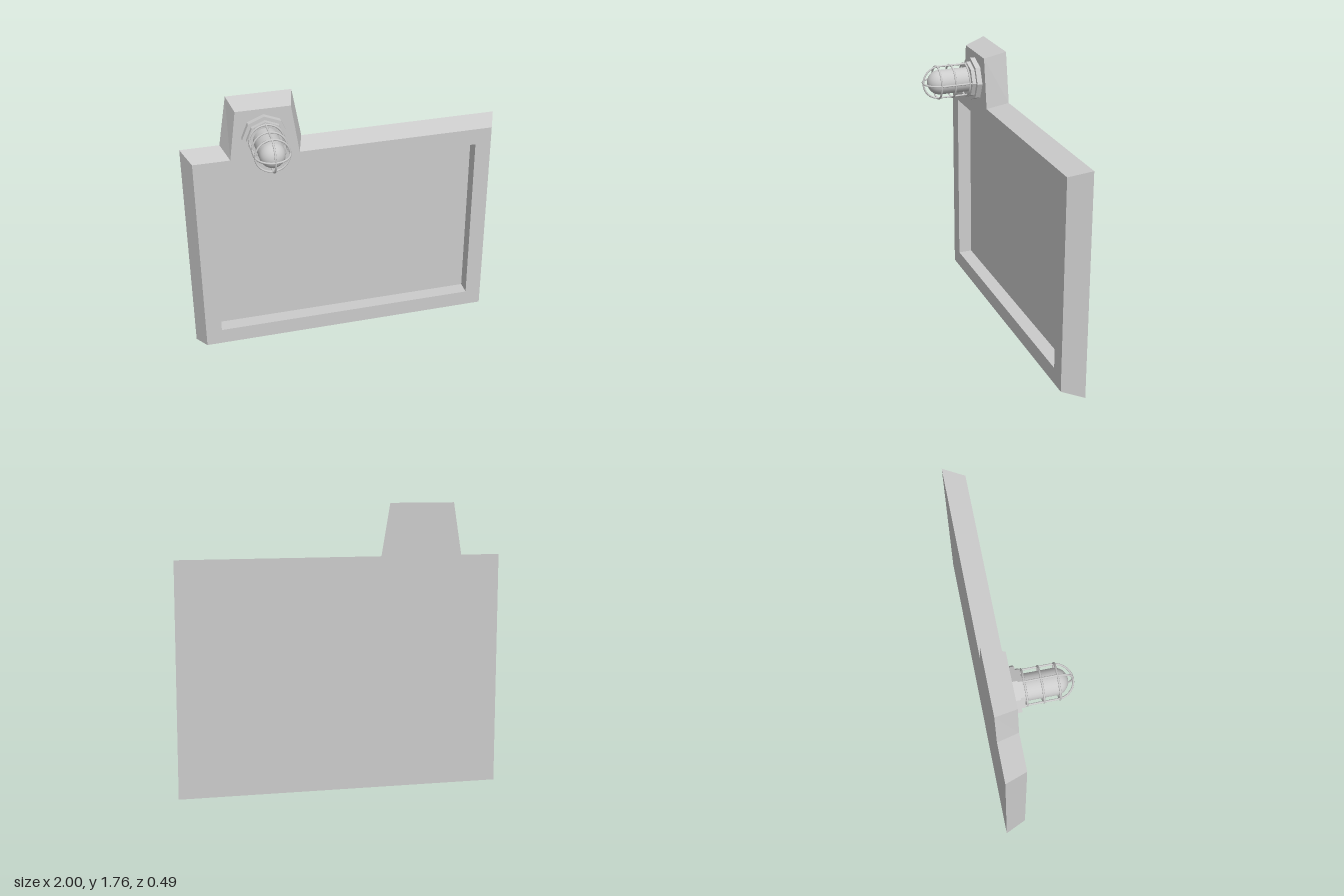
import * as THREE from 'three';

const BACK = -0.245, FRONT = -0.11, FLOOR = -0.2;
const smooth = new THREE.MeshStandardMaterial({ color: 0xcccccc });
const flat = new THREE.MeshStandardMaterial({ color: 0xcccccc, flatShading: true });

// Outlines, counter-clockwise seen from the front
const backOutline = [[-1, 0], [1, 0], [1, 1.44], [-0.25, 1.44], [-0.303, 1.76], [-0.705, 1.76], [-0.757, 1.44], [-1, 1.44]];
const frontOutline = [[-0.945, 0.04], [0.945, 0.04], [0.945, 1.402], [-0.29, 1.402], [-0.336, 1.72], [-0.672, 1.72], [-0.715, 1.402], [-0.945, 1.402]];
const recess = [[-0.843, 0.145], [0.843, 0.145], [0.843, 1.295], [-0.843, 1.295]];

const toPoints = (list) => list.map(([x, y]) => new THREE.Vector2(x, y));

function add(parent, name, geometry, material) {
  const mesh = new THREE.Mesh(geometry, material);
  mesh.name = name;
  parent.add(mesh);
  return mesh;
}

// Flat-sided band of quads joining two outlines at different depths
function band(a, za, b, zb) {
  const pos = [];
  a.forEach((p, i) => {
    const j = (i + 1) % a.length;
    const p0 = [...p, za], p1 = [...a[j], za], q0 = [...b[i], zb], q1 = [...b[j], zb];
    pos.push(...p0, ...p1, ...q1, ...p0, ...q1, ...q0);
  });
  const g = new THREE.BufferGeometry();
  g.setAttribute('position', new THREE.Float32BufferAttribute(pos, 3));
  g.computeVertexNormals();
  return g;
}

function buildPanel() {
  const panel = new THREE.Group();
  panel.name = 'signPanel';

  const faceShape = new THREE.Shape(toPoints(frontOutline));
  faceShape.holes.push(new THREE.Path(toPoints(recess)));
  add(panel, 'frontFrame', new THREE.ShapeGeometry(faceShape).translate(0, 0, FRONT), flat);

  add(panel, 'bevelledSides', band(backOutline, BACK, frontOutline, FRONT), flat);

  const inner = [...recess].reverse();
  add(panel, 'recessWalls', band(inner, FLOOR, inner, FRONT), flat);
  add(panel, 'recessFloor', new THREE.ShapeGeometry(new THREE.Shape(toPoints(recess))).translate(0, 0, FLOOR), flat);

  // Mirror in x and turn around so that the back faces -z
  const mirrored = backOutline.map(([x, y]) => [-x, y]).reverse();
  const back = new THREE.ShapeGeometry(new THREE.Shape(toPoints(mirrored)));
  add(panel, 'backFace', back.rotateY(Math.PI).translate(0, 0, BACK), flat);
  return panel;
}

// Lamp built along local +y, then turned to point to the front
function buildLamp() {
  const lamp = new THREE.Group();
  lamp.name = 'cagedLamp';

  // Stepped octagonal mount
  [[0.14, -0.11, -0.077], [0.117, -0.077, -0.052]].forEach(([r, y0, y1], i) => {
    const g = new THREE.CylinderGeometry(r, r, y1 - y0, 8);
    add(lamp, `mountTier${i + 1}`, g.translate(0, (y0 + y1) / 2, 0), flat);
  });

  // Glass: cylinder with a domed end
  const R = 0.078, domeY = 0.133;
  const profile = [new THREE.Vector2(R, -0.06)];
  for (let i = 0; i <= 10; i++) {
    const t = (i / 10) * Math.PI / 2;
    profile.push(new THREE.Vector2(R * Math.cos(t), domeY + R * Math.sin(t)));
  }
  add(lamp, 'glassBulb', new THREE.LatheGeometry(profile, 32), smooth);

  // Guard cage: two crossing hoops and three rings
  const cageR = 0.104, wire = 0.006, cageY = 0.135;
  const path = new THREE.CurvePath();
  const corner = (s, y) => new THREE.Vector3(s * cageR, y, 0);
  const arc = [];
  for (let i = 0; i <= 16; i++) {
    const t = Math.PI * (1 - i / 16);
    arc.push(new THREE.Vector3(cageR * Math.cos(t), cageY + cageR * Math.sin(t), 0));
  }
  path.add(new THREE.LineCurve3(corner(-1, -0.06), corner(-1, cageY)));
  path.add(new THREE.CatmullRomCurve3(arc));
  path.add(new THREE.LineCurve3(corner(1, cageY), corner(1, -0.06)));
  const hoop = new THREE.TubeGeometry(path, 64, wire, 8);
  add(lamp, 'cageHoopA', hoop, smooth);
  add(lamp, 'cageHoopB', hoop, smooth).rotation.y = Math.PI / 2;

  const ring = new THREE.TorusGeometry(cageR, wire, 8, 40).rotateX(Math.PI / 2);
  [-0.04, 0.055, 0.148].forEach((y, i) => {
    add(lamp, `cageRing${i + 1}`, ring, smooth).position.y = y;
  });

  lamp.rotation.x = Math.PI / 2;
  lamp.position.set(-0.503, 1.545, 0);
  return lamp;
}

export function createModel() {
  const model = new THREE.Group();
  model.name = 'signWithLamp';
  model.add(buildPanel(), buildLamp());
  return model;
}
